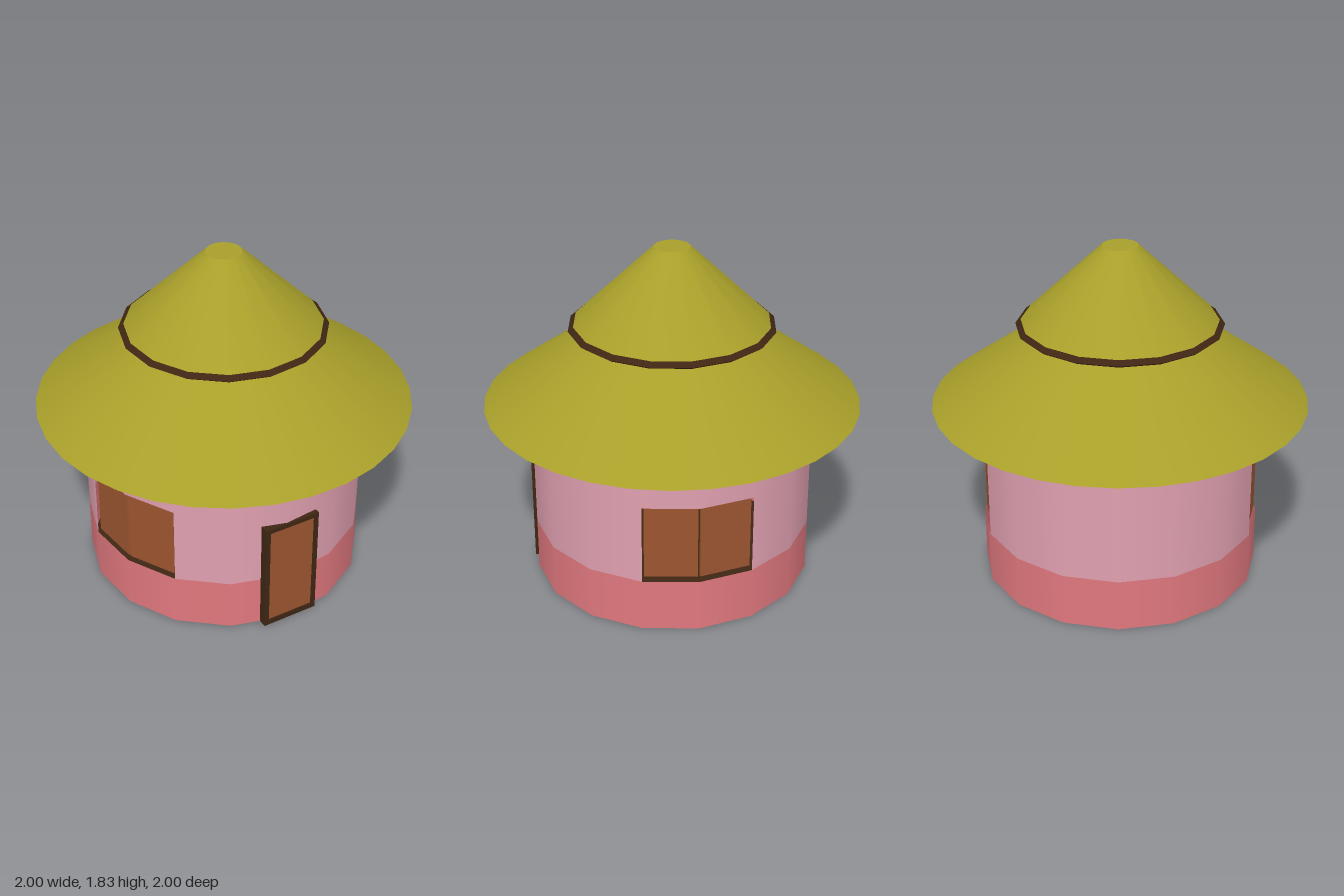
import * as THREE from 'three';

const mat = (name, color, side = THREE.FrontSide) => {
  const m = new THREE.MeshStandardMaterial({ color, side });
  m.name = name;
  return m;
};

export function createModel() {
  const group = new THREE.Group();
  group.name = 'roundHut';
  const pink = mat('pinkPlaster', 0xe0a0b0, THREE.DoubleSide);
  const red = mat('redPlaster', 0xe0787e, THREE.DoubleSide);
  const thatch = mat('thatch', 0xa89f2a, THREE.DoubleSide);
  const wood = mat('wood', 0x9c5530);
  const dark = mat('darkWood', 0x3f2613, THREE.DoubleSide);

  const add = (name, geo, material, parent = group) => {
    const mesh = new THREE.Mesh(geo, material);
    mesh.name = name;
    parent.add(mesh);
    return mesh;
  };
  // Open conical band between two heights, optionally only an arc of it
  const band = (name, material, r0, y0, r1, y1, sides, start = 0, arc = Math.PI * 2) =>
    add(name, new THREE.CylinderGeometry(r1, r0, y1 - y0, sides, 1, true, start, arc)
      .translate(0, (y0 + y1) / 2, 0), material);
  // Flat disc facing up (1) or down (-1)
  const disc = (name, material, r, y, sides, dir) =>
    add(name, new THREE.CircleGeometry(r, sides).rotateX(-dir * Math.PI / 2).translate(0, y, 0), material);

  const R = 0.75, step = Math.PI / 8;
  const sill = 0.287, lintel = 0.72, eave = 0.975;

  // Walls, with a two-facet window opening on each side
  disc('floor', dark, R, 0, 16, -1);
  band('lowerWall', red, R, 0, R, sill, 16);
  band('backWall', pink, R, sill, R, lintel, 6, step * 5, step * 6);
  band('frontWall', pink, R, sill, R, lintel, 6, step * 13, step * 6);
  band('upperWall', pink, R, lintel, R, eave, 16);

  // Window shutters, one per open facet
  for (const side of [1, -1]) {
    for (const half of [1, -1]) {
      const a = side * Math.PI / 2 + half * step / 2;
      const shutter = add('shutter', new THREE.BoxGeometry(0.274, 0.4, 0.015), wood);
      shutter.position.set(Math.sin(a) * 0.717, 0.512, Math.cos(a) * 0.717);
      shutter.rotation.y = a;
    }
  }

  // Door with frame, set across the corner of two facets
  const door = new THREE.Group();
  door.name = 'door';
  door.position.set(-0.26, 0, 0.7025);
  door.rotation.y = -0.307;
  group.add(door);
  const board = (name, w, h, x, y, front, material) =>
    add(name, new THREE.BoxGeometry(w, h, 0.05).translate(x, y, front - 0.025), material, door);
  board('doorPanel', 0.28, 0.59, 0, 0.32, 0.003, wood);
  for (const s of [-1, 1]) board('doorPost', 0.026, 0.635, s * 0.144, 0.3175, 0.009, dark);
  board('doorLintel', 0.262, 0.025, 0, 0.6225, 0.009, dark);
  board('doorSill', 0.262, 0.032, 0, 0.016, 0.009, dark);

  // Lower roof with a flat soffit
  band('lowerRoof', thatch, 0.998, eave, 0.425, 1.387, 32);
  add('soffit', new THREE.RingGeometry(0.73, 0.998, 32).rotateX(Math.PI / 2).translate(0, eave, 0), pink);

  // Upper roof with a dark rim
  disc('upperRoofUnderside', red, 0.53, 1.384, 16, -1);
  band('rimLip', dark, 0.53, 1.384, 0.546, 1.396, 16);
  band('rim', dark, 0.546, 1.396, 0.518, 1.418, 16);
  band('upperRoof', thatch, 0.518, 1.418, 0.095, 1.825, 16);
  disc('roofCap', thatch, 0.095, 1.825, 16, 1);

  return group;
}
